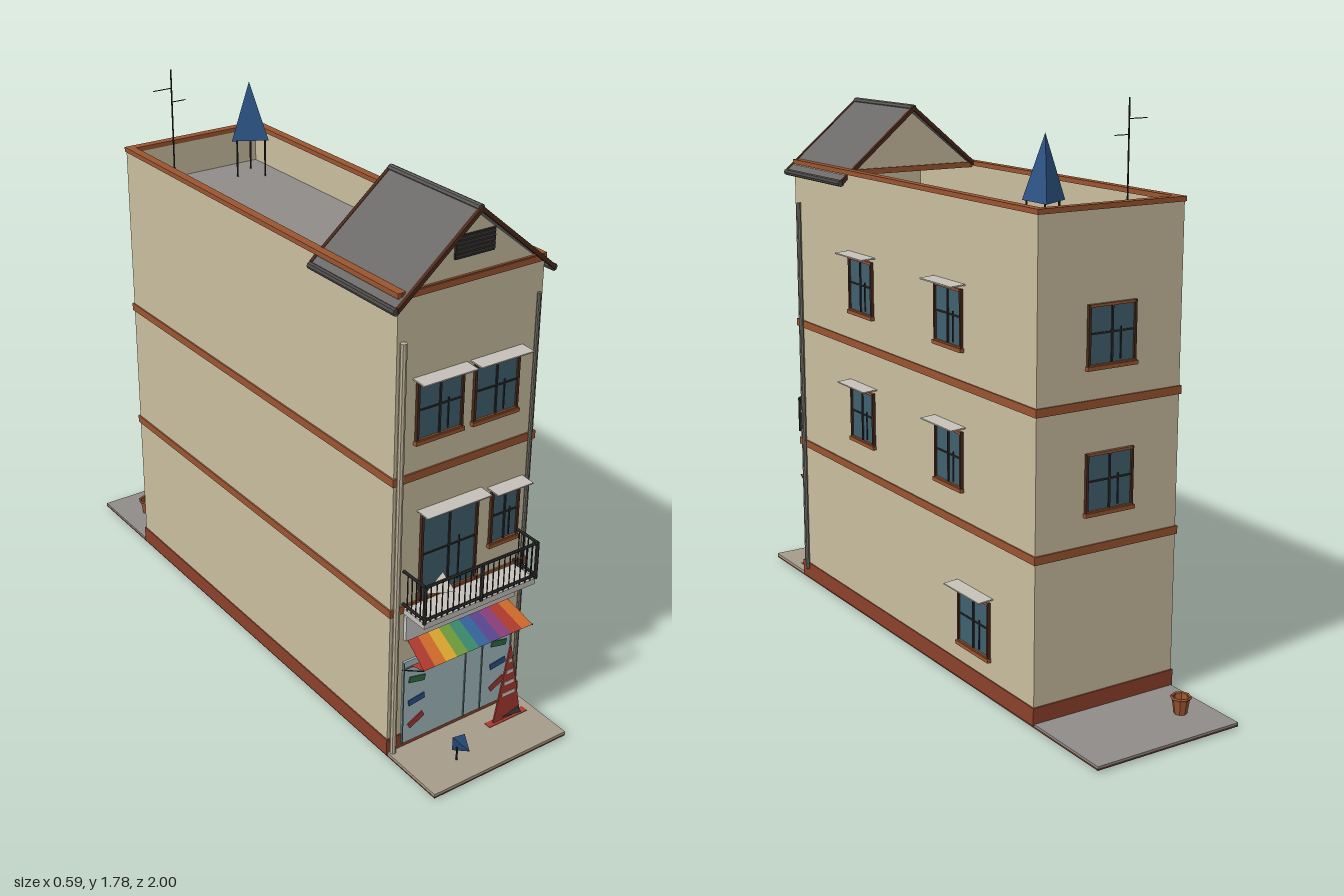
import * as THREE from 'three';

const mats = {};
function mat(color) {
  return mats[color] ??= new THREE.MeshStandardMaterial({ color, flatShading: true, side: THREE.DoubleSide });
}
const WALL = 0xc9bd9f, TRIM = 0x9a5530, PLINTH = 0x8c412b, GLASS = 0x40606f, BROWN = 0x4a2a1c;
const DARK = 0x2a2a2c, ROOF = 0x6c6a68, DECK = 0x8f8c8a, PALE = 0xc4c0b8;
const X0 = -0.265, X1 = 0.24, Z0 = -0.69, Z1 = 0.77, CX = (X0 + X1) / 2, CZ = (Z0 + Z1) / 2;

function add(parent, name, geometry, color, x = 0, y = 0, z = 0) {
  const m = new THREE.Mesh(geometry, mat(color));
  m.name = name;
  m.position.set(x, y, z);
  parent.add(m);
  return m;
}

// Box given by its minimum and maximum on each axis
function box(parent, name, color, x0, x1, y0, y1, z0, z1) {
  return add(parent, name, new THREE.BoxGeometry(x1 - x0, y1 - y0, z1 - z0), color,
    (x0 + x1) / 2, (y0 + y1) / 2, (z0 + z1) / 2);
}

// Thin round bar between two points
function bar(parent, name, color, a, b, r = 0.003, sides = 6) {
  const p = new THREE.Vector3(...a), q = new THREE.Vector3(...b);
  const m = add(parent, name, new THREE.CylinderGeometry(r, r, p.distanceTo(q), sides), color);
  m.position.copy(p).lerp(q, 0.5);
  m.quaternion.setFromUnitVectors(new THREE.Vector3(0, 1, 0), q.sub(p).normalize());
  return m;
}

// Four strips around the building (outset o, width w)
function ring(parent, name, color, y0, y1, o, w) {
  const g = new THREE.Group();
  g.name = name;
  for (const [a, b] of [[X0 - o, X0 - o + w], [X1 + o - w, X1 + o]]) box(g, 'sideStrip', color, a, b, y0, y1, Z0 - o, Z1 + o);
  for (const [a, b] of [[Z0 - o, Z0 - o + w], [Z1 + o - w, Z1 + o]]) box(g, 'endStrip', color, X0 - o + w, X1 + o - w, y0, y1, a, b);
  parent.add(g);
}

function flat(points, depth) {
  const s = new THREE.Shape(points.map(p => new THREE.Vector2(...p)));
  return new THREE.ExtrudeGeometry(s, { depth, bevelEnabled: false });
}

// Window standing on y = 0 and facing +z, with optional canopy
function windowUnit(parent, name, w, h, { canopy = 0.05, sill = true } = {}) {
  const g = new THREE.Group(), f = 0.008;
  g.name = name;
  box(g, 'glass', GLASS, -w / 2, w / 2, 0, h, -0.005, 0.004);
  for (const s of [-1, 1]) {
    box(g, 'frameSide', BROWN, s * w / 2 - f / 2, s * w / 2 + f / 2, 0, h, 0, 0.01);
    box(g, 'frameRail', TRIM, -w / 2, w / 2, s < 0 ? 0 : h - f, s < 0 ? f : h, 0, 0.01);
  }
  box(g, 'mullion', DARK, -0.003, 0.003, 0, h, 0, 0.008);
  box(g, 'halfMullion', DARK, w * 0.18, w * 0.18 + 0.004, h * 0.08, h * 0.6, 0, 0.007);
  box(g, 'transom', DARK, -w / 2, w / 2, h * 0.52, h * 0.52 + 0.005, 0, 0.007);
  if (sill) box(g, 'sill', TRIM, -w / 2 - 0.008, w / 2 + 0.008, -0.008, 0.004, 0, 0.014);
  if (canopy) {
    const c = box(g, 'canopy', PALE, -w / 2 - 0.016, w / 2 + 0.016, h + 0.011, h + 0.015, 0, canopy);
    c.rotation.x = 0.06;
  }
  parent.add(g);
  return g;
}

function buildShell(root) {
  box(root, 'groundSlab', 0x5a3423, X0, X1, 0.008, 0.014, -1, 1);
  box(root, 'backYard', DECK, X0, X1, 0.014, 0.02, -1, Z0);
  box(root, 'frontPavement', 0xa59c8a, X0, X1, 0.014, 0.022, Z1, 1);
  box(root, 'walls', WALL, X0, X1, 0.015, 1.37, Z0, Z1);
  box(root, 'roofDeck', DECK, X0 + 0.01, X1 - 0.01, 1.37, 1.385, Z0 + 0.01, Z1 - 0.01);
  ring(root, 'parapet', WALL, 1.37, 1.5, 0, 0.02);
  ring(root, 'coping', TRIM, 1.498, 1.513, 0.004, 0.028);
  ring(root, 'lowerBelt', TRIM, 0.505, 0.53, 0.005, 0.02);
  ring(root, 'upperBelt', TRIM, 0.935, 0.96, 0.005, 0.02);
  ring(root, 'plinth', PLINTH, 0.015, 0.07, 0.004, 0.02);
}

function buildWindows(root) {
  for (const x of [-0.115, 0.085]) windowUnit(root, 'upperFrontWindow', 0.155, 0.18).position.set(x, 1.055, Z1);
  windowUnit(root, 'balconyDoor', 0.2, 0.285, { sill: false }).position.set(-0.063, 0.53, Z1);
  windowUnit(root, 'balconyWindow', 0.1, 0.18).position.set(0.143, 0.625, Z1);
  for (const [y, z, w] of [[0.625, 0.303, 0.145], [0.625, -0.235, 0.145], [1.055, 0.303, 0.145], [1.055, -0.235, 0.145], [0.135, -0.375, 0.165]]) {
    const g = windowUnit(root, 'sideWindow', w, 0.18);
    g.position.set(X1, y, z);
    g.rotation.y = Math.PI / 2;
  }
  for (const y of [0.625, 1.055]) {
    const g = windowUnit(root, 'backWindow', 0.16, 0.18, { canopy: 0 });
    g.position.set(CX, y, Z0);
    g.rotation.y = Math.PI;
  }
}

function buildGable(root) {
  const g = new THREE.Group(), top = 1.695, eave = 1.47, half = 0.27, zb = 0.395, zf = 0.79;
  g.name = 'gableRoof';
  g.position.x = CX;
  root.add(g);
  for (const z of [0.755, 0.41]) {
    add(g, 'gableWall', flat([[-0.23, 1.5], [0.23, 1.5], [0, 1.685]], 0.012), WALL, 0, 0, z);
    box(g, 'gableBeam', TRIM, -0.245, 0.245, 1.492, 1.51, z - 0.006, z + 0.022);
  }
  box(g, 'vent', DARK, -0.068, 0.068, 1.563, 1.628, 0.765, 0.773);
  for (let i = 0; i < 5; i++) box(g, 'ventSlat', 0x4a4642, -0.065, 0.065, 1.57 + i * 0.012, 1.574 + i * 0.012, 0.77, 0.778);
  for (const s of [-1, 1]) {
    const slope = t => [[0, top], [s * half, eave], [s * half, eave + t], [0, top + t]];
    add(g, 'roofPanel', flat(slope(0.01), zf - zb), ROOF, 0, 0, zb);
    for (const z of [zb - 0.005, zf - 0.006]) add(g, 'rakeBoard', flat(slope(-0.016), 0.012), BROWN, 0, 0.012, z);
    bar(g, 'gutter', 0x4c4a48, [s * (half + 0.003), eave, zb], [s * (half + 0.003), eave, zf], 0.011, 8);
  }
  bar(g, 'ridge', 0x5a5856, [0, top + 0.005, zb], [0, top + 0.005, zf], 0.011, 8);
}

function buildBalcony(root) {
  const g = new THREE.Group(), xa = -0.22, xb = 0.195, zf = 0.87;
  g.name = 'balcony';
  root.add(g);
  box(g, 'balconySlab', PALE, xa, xb, 0.503, 0.522, Z1, zf);
  for (const y of [0.535, 0.645]) {
    bar(g, 'frontRail', DARK, [xa, y, zf], [xb, y, zf], 0.005);
    for (const x of [xa, xb]) bar(g, 'sideRail', DARK, [x, y, Z1], [x, y, zf], 0.005);
  }
  for (let i = 0; i <= 20; i++) {
    const x = xa + (xb - xa) * i / 20;
    bar(g, 'baluster', DARK, [x, 0.522, zf], [x, 0.645, zf], i % 10 ? 0.002 : 0.006);
  }
  for (const x of [xa, xb]) for (let i = 1; i < 5; i++) bar(g, 'sideBaluster', DARK, [x, 0.522, Z1 + i * 0.02], [x, 0.645, Z1 + i * 0.02], 0.002);
  const lamp = add(g, 'balconyLamp', new THREE.ConeGeometry(0.04, 0.08, 3), PALE, -0.15, 0.59, 0.83);
  lamp.rotation.z = Math.PI / 2;
}

function buildShop(root) {
  const g = new THREE.Group(), xa = -0.215, xb = 0.198;
  g.name = 'shopFront';
  root.add(g);
  box(g, 'shopGlass', 0xa3bcc0, xa, xb, 0.035, 0.33, Z1, 0.777);
  box(g, 'signBoard', 0xc9c7c4, xa, xb, 0.41, 0.492, Z1, 0.783);
  for (const x of [xa, 0.02, 0.085, xb]) box(g, 'shopPost', 0x6d7f82, x - 0.002, x + 0.002, 0.035, 0.33, 0.775, 0.78);
  box(g, 'shopRail', 0x6d7f82, xa, xb, 0.305, 0.309, 0.775, 0.78);
  // Coloured goods behind the glass
  for (const [i, c] of [0x2f6b45, 0x2c4f86, 0xa33a30].entries()) for (const x of [-0.165, 0.15]) {
    const m = box(g, 'goods', c, x - 0.03, x + 0.03, 0.245 - i * 0.075, 0.265 - i * 0.075, 0.777, 0.78);
    m.rotation.z = 0.35 * (i - 0.6);
  }
  // Striped awning folded from a top slope and an under slope
  const stripes = [0xb03a2e, 0xcf6a2a, 0xd9a52f, 0x6f9a3c, 0x3c8a6c, 0x34649c, 0x5a4590, 0x8a3f7c, 0xb03a2e, 0xcf6a2a];
  const w = (xb - xa) / stripes.length;
  const edge = [[0.4, Z1], [0.357, 0.87], [0.322, 0.79]];
  stripes.forEach((c, i) => {
    const x = xa + i * w, pos = [], taper = v => CX + (v - CX) * 0.92;
    edge.forEach(([y, z], k) => pos.push(k === 1 ? x : taper(x), y, z, k === 1 ? x + w : taper(x + w), y, z));
    const geo = new THREE.BufferGeometry();
    geo.setAttribute('position', new THREE.Float32BufferAttribute(pos, 3));
    geo.setIndex([0, 2, 1, 1, 2, 3, 2, 4, 3, 3, 4, 5]);
    geo.computeVertexNormals();
    add(g, 'awningStripe', geo, c);
  });
  for (const x of [xa, xb]) bar(g, 'awningArm', DARK, [x, 0.3, Z1], [x, 0.357, 0.87], 0.002);
}

function buildPipes(root) {
  bar(root, 'leftFrontPipe', 0xb9ae95, [-0.25, 0.02, 0.78], [-0.25, 1.37, 0.78], 0.01, 8);
  bar(root, 'rightFrontPipe', 0x77736a, [0.222, 0.02, 0.778], [0.222, 1.4, 0.778], 0.006, 8);
  bar(root, 'cornerPipe', 0x77736a, [0.249, 0.05, 0.73], [0.249, 1.37, 0.73], 0.008, 8);
}

function buildRoofItems(root) {
  // Three-sided spire on thin posts
  add(root, 'spire', new THREE.ConeGeometry(0.07, 0.19, 3).rotateY(-Math.PI / 2), 0x2d5585, 0.125, 1.605, -0.555);
  for (const [x, z] of [[0.075, -0.555], [0.155, -0.6], [0.155, -0.51]]) bar(root, 'spirePost', DARK, [x, 1.385, z], [x, 1.52, z], 0.003);
  bar(root, 'antennaMast', DARK, [-0.165, 1.385, -0.555], [-0.165, 1.785, -0.555], 0.0025);
  bar(root, 'antennaArm', DARK, [-0.23, 1.725, -0.555], [-0.165, 1.725, -0.555], 0.0015);
  bar(root, 'antennaArm', DARK, [-0.165, 1.68, -0.555], [-0.115, 1.68, -0.555], 0.0015);
}

function buildStreetItems(root) {
  // Flat striped red sign
  const sign = new THREE.Group();
  sign.name = 'streetSign';
  root.add(sign);
  sign.position.set(0.137, 0, 0.843);
  const half = y => 0.058 * (1 - y / 0.3);
  for (let i = 0; i < 7; i++) {
    const a = 0.02 + i * 0.04, b = Math.min(a + 0.04, 0.295), h0 = half(a), h1 = half(b);
    add(sign, 'signBand', flat([[-h0, a], [h0, a], [h1, b], [-h1, b]], 0.005), 0xa83a30);
    if (i > 1 && i < 6) box(sign, 'signStripe', 0xd8d2cc, -h1 * 0.8, h1 * 0.8, a + 0.012, a + 0.023, 0.004, 0.007);
  }
  box(sign, 'signFoot', 0xa83a30, -0.075, 0.075, 0.002, 0.024, -0.01, 0.014);
  // Small pavement markers and a yard pot
  const blue = add(root, 'blueMarker', new THREE.ConeGeometry(0.035, 0.06, 3), 0x2d5585, -0.115, 0.09, 0.915);
  blue.rotation.z = 0.7;
  bar(root, 'markerPost', DARK, [-0.115, 0.02, 0.915], [-0.115, 0.08, 0.915], 0.003);
  const dark = add(root, 'darkMarker', new THREE.ConeGeometry(0.012, 0.07, 3), DARK, 0.125, 0.06, 0.875);
  dark.rotation.z = Math.PI / 2;
  add(root, 'potRim', new THREE.TorusGeometry(0.028, 0.005, 5, 8).rotateX(Math.PI / 2), TRIM, -0.165, 0.07, -0.86);
  add(root, 'pot', new THREE.CylinderGeometry(0.028, 0.02, 0.05, 8, 1, true), TRIM, -0.165, 0.045, -0.86);
}

export function createModel() {
  const root = new THREE.Group();
  root.name = 'townhouse';
  for (const build of [buildShell, buildWindows, buildGable, buildBalcony, buildShop, buildPipes, buildRoofItems, buildStreetItems]) build(root);
  return root;
}
